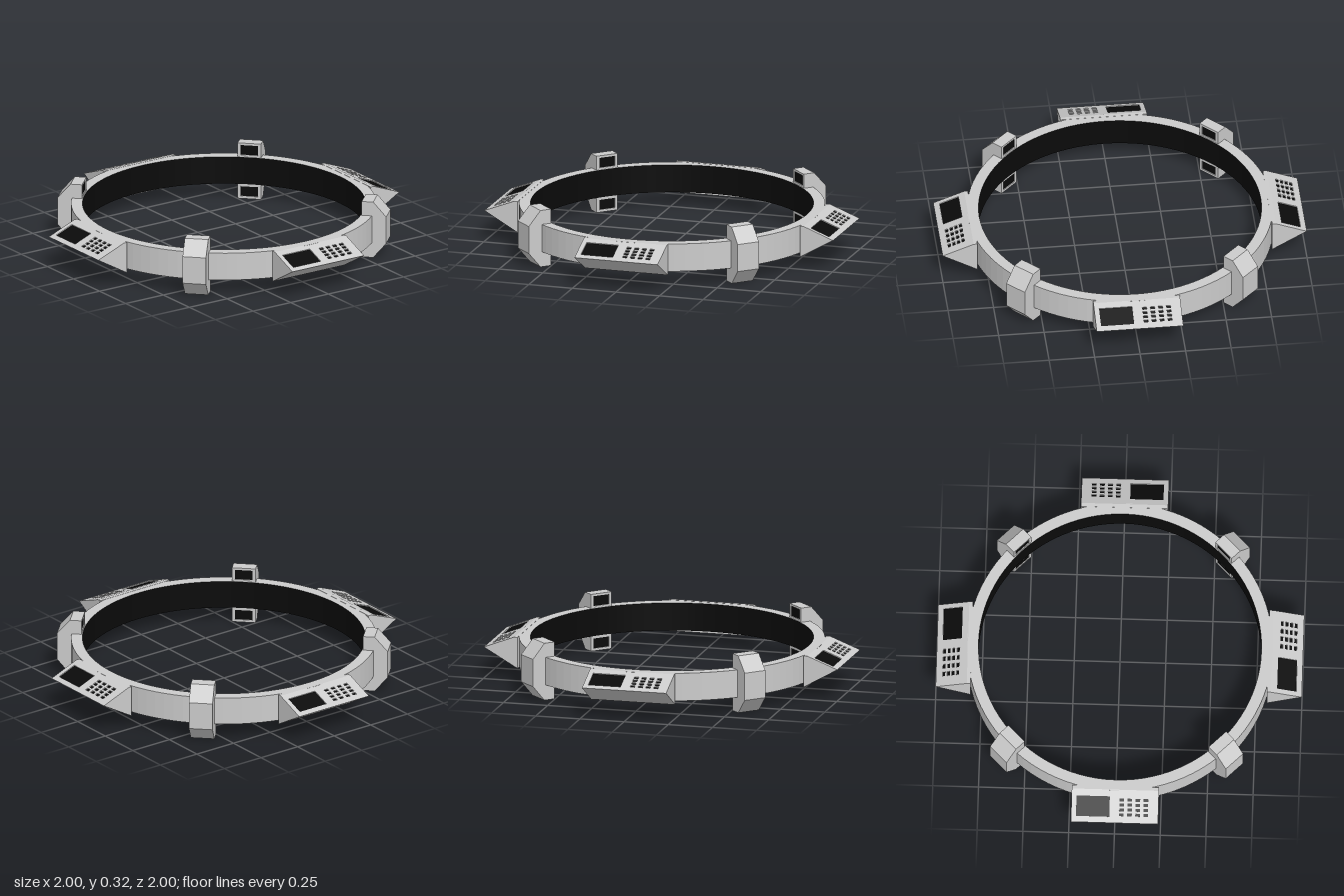
import * as THREE from 'three';

const grey = new THREE.MeshStandardMaterial({ color: 0xcccccc, flatShading: true });
const black = new THREE.MeshStandardMaterial({ color: 0x0a0a0a, flatShading: true });
const blackWall = new THREE.MeshStandardMaterial({ color: 0x0a0a0a });

const RING_IN = 0.773, RING_OUT = 0.835, RING_LOW = 0.085, RING_HIGH = 0.24;
const RECESS = 0.007;

function add(parent, name, geometry, material) {
  const mesh = new THREE.Mesh(geometry, material);
  mesh.name = name;
  parent.add(mesh);
  return mesh;
}

const points = list => list.map(([x, y]) => new THREE.Vector2(x, y));

// Solid with a (radius, height) profile, extruded across x and facing +z
function profileSolid(profile, width) {
  return new THREE.ExtrudeGeometry(new THREE.Shape(points(profile)), { depth: width, bevelEnabled: false })
    .translate(0, 0, -width / 2)
    .rotateY(-Math.PI / 2);
}

// Rectangle as corner points, centred on (x, y)
const rect = (x, y, w, h) => points([
  [x - w / 2, y - h / 2], [x + w / 2, y - h / 2], [x + w / 2, y + h / 2], [x - w / 2, y + h / 2]]);

// Plate whose outer face lies on z = 0, with dark panels sunk into its windows
function windowPlate(name, outline, windows) {
  const plate = new THREE.Group();
  plate.name = name;
  const shape = new THREE.Shape(rect(...outline));
  for (const w of windows) shape.holes.push(new THREE.Path(rect(...w.size)));
  add(plate, name + 'Frame', new THREE.ExtrudeGeometry(shape, { depth: RECESS, bevelEnabled: false })
    .translate(0, 0, -RECESS), grey);
  for (const w of windows) {
    const [x, y, width, height] = w.size;
    add(plate, w.name, new THREE.PlaneGeometry(width, height), black).position.set(x, y, -RECESS + 0.002);
  }
  return plate;
}

// Wedge console with a screen and a keypad on its sloping top
function createConsole() {
  const group = new THREE.Group();
  group.name = 'console';
  const width = 0.476, tip = [1, 0.175], top = [0.83, 0.241];
  const run = tip[0] - top[0], rise = top[1] - tip[1], length = Math.hypot(run, rise);
  const start = 0.015, end = length - 0.012;
  // Point at distance v up the slope, sunk by depth d
  const onSlope = (v, d) => [
    tip[0] - (v * run + d * rise) / length,
    tip[1] + (v * rise - d * run) / length];
  add(group, 'consoleBody', profileSolid([
    [0.81, 0.066], tip, onSlope(start, 0), onSlope(start, RECESS),
    onSlope(end, RECESS), onSlope(end, 0), top, [0.81, 0.241]], width), grey);

  const windows = [{ name: 'screen', size: [-0.12, 0.089, 0.182, 0.112] }];
  for (let row = 0; row < 4; row++)
    for (let col = 0; col < 4; col++)
      windows.push({ name: 'key', size: [0.037 + col * 0.044, 0.046 + row * 0.027, 0.025, 0.016] });
  const plate = windowPlate('controlPanel', [0, (start + end) / 2, width, end - start], windows);
  plate.position.set(0, tip[1], tip[0]);
  plate.rotation.x = -Math.atan2(run, rise);
  group.add(plate);
  return group;
}

// Chamfered clamp gripping the ring, with dark panels above and below it inside
function createClamp() {
  const group = new THREE.Group();
  group.name = 'clamp';
  const inner = 0.776, width = 0.13, height = 0.32;
  add(group, 'clampBody', profileSolid([
    [inner + RECESS, 0], [0.84, 0], [0.912, 0.085], [0.912, 0.238],
    [0.84, height], [inner + RECESS, height]], width), grey);
  const plate = windowPlate('clampInnerFace', [0, height / 2, width, height], [
    { name: 'lowerPanel', size: [0, 0.042, 0.096, 0.056] },
    { name: 'upperPanel', size: [0, 0.28, 0.096, 0.056] }]);
  plate.position.z = inner;
  plate.rotation.y = Math.PI;
  group.add(plate);
  return group;
}

export function createModel() {
  const model = new THREE.Group();
  model.name = 'consoleRing';

  // Ring with a dark inner wall
  add(model, 'ring', new THREE.LatheGeometry(points([
    [RING_IN, RING_LOW], [RING_OUT, RING_LOW], [RING_OUT, RING_HIGH], [RING_IN, RING_HIGH]]), 96), grey);
  add(model, 'ringInnerWall', new THREE.LatheGeometry(points([
    [RING_IN, RING_HIGH], [RING_IN, RING_LOW]]), 96), blackWall);

  // Consoles on the four sides, clamps on the diagonals
  for (let i = 0; i < 4; i++) {
    const panel = createConsole();
    panel.rotation.y = i * Math.PI / 2;
    const clamp = createClamp();
    clamp.rotation.y = (i + 0.5) * Math.PI / 2;
    model.add(panel, clamp);
  }
  return model;
}
